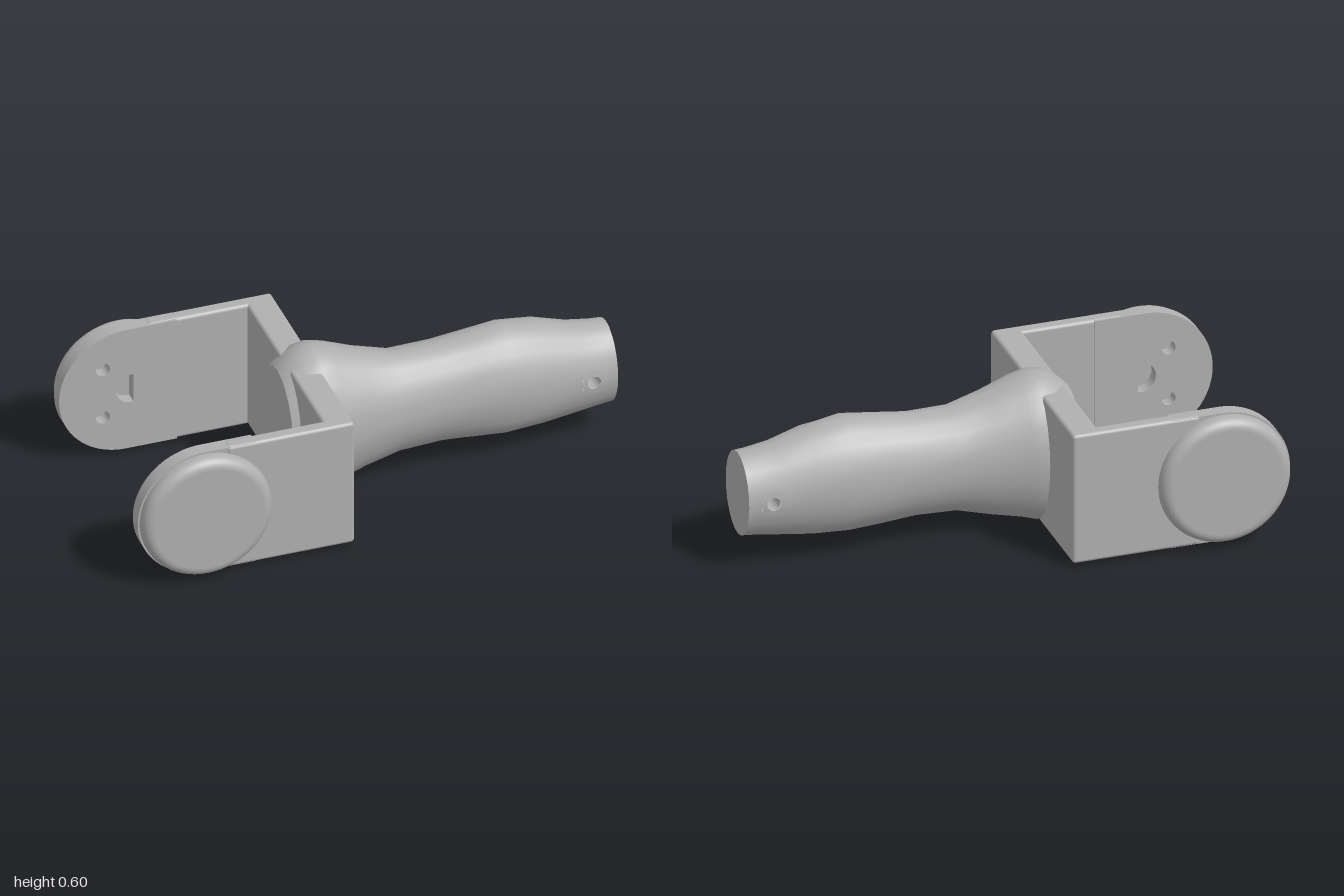
import * as THREE from 'three';
import { mergeVertices } from 'three/addons/utils/BufferGeometryUtils.js';
import { RoundedBoxGeometry } from 'three/addons/geometries/RoundedBoxGeometry.js';

const grey = new THREE.MeshStandardMaterial({ color: 0xb0b0b0, side: THREE.DoubleSide });
grey.name = 'grey';

const MID_Y = 0.286;   // height of the fork axis
const DISC_X = -0.738; // centre of the round arm ends

function add(parent, name, geometry, x = 0, y = 0, z = 0) {
  const mesh = new THREE.Mesh(geometry, grey);
  mesh.name = name;
  mesh.position.set(x, y, z);
  parent.add(mesh);
  return mesh;
}

// Grip sections: x, bottom, top, half width
const SECTIONS = [
  [-0.29, 0.06, 0.525, 0.18], [-0.25, 0.03, 0.565, 0.19], [-0.2, 0.006, 0.594, 0.205],
  [-0.15, 0.004, 0.602, 0.21], [-0.09, 0.02, 0.586, 0.2], [0.03, 0.055, 0.54, 0.175],
  [0.165, 0.09, 0.502, 0.155], [0.33, 0.096, 0.504, 0.15], [0.46, 0.085, 0.522, 0.158],
  [0.59, 0.075, 0.534, 0.165], [0.73, 0.085, 0.513, 0.157], [0.86, 0.104, 0.474, 0.142],
  [0.95, 0.117, 0.459, 0.135], [1, 0.122, 0.455, 0.132],
];
const SEGS = 24, STEP = Math.PI * 2 / SEGS;
const HOLE_X = 0.905, HOLE_R = 0.026, HOLE_ROW = 11;

function section(x) {
  let i = 0;
  while (i < SECTIONS.length - 2 && x > SECTIONS[i + 1][0]) i++;
  const a = SECTIONS[i], b = SECTIONS[i + 1], t = (x - a[0]) / (b[0] - a[0]);
  const [lo, hi, w] = [1, 2, 3].map((k) => a[k] + (b[k] - a[k]) * t);
  return { cy: (lo + hi) / 2, ry: (hi - lo) / 2, rz: w };
}

function gripPoint(x, a, scale = 1) {
  const s = section(x);
  return [x, s.cy + s.ry * scale * Math.sin(a), s.rz * scale * Math.cos(a)];
}

function gripGeometry() {
  const pos = [];
  const quad = (a, b, c, d) => pos.push(...a, ...b, ...c, ...a, ...c, ...d);
  // slight hand-worked unevenness
  let seed = 7;
  const rand = () => ((seed = (seed * 16807) % 2147483647) / 2147483647) - 0.5;
  const grid = SECTIONS.map(([x], i) => Array.from({ length: SEGS }, (_, j) =>
    gripPoint(x, j * STEP, i > 3 && i < HOLE_ROW ? 1 + rand() * 0.03 : 1)));
  for (let i = 0; i < grid.length - 1; i++) {
    for (let j = 0; j < SEGS; j++) {
      // leave room for the cross hole on both sides
      if (i === HOLE_ROW && [0, 11, 12, 23].includes(j)) continue;
      const k = (j + 1) % SEGS;
      quad(grid[i][j], grid[i + 1][j], grid[i + 1][k], grid[i][k]);
    }
  }
  // surface between the opening and the round hole
  const ry = section(HOLE_X).ry, n = 24;
  for (const side of [0, Math.PI]) {
    const ring = (k) => {
      const t = k / n * Math.PI * 2, c = Math.cos(t), s = Math.sin(t);
      const m = Math.max(Math.abs(c), Math.abs(s));
      return [
        gripPoint(HOLE_X + HOLE_R * c, side + Math.asin(HOLE_R * s / ry)),
        gripPoint(HOLE_X + 0.045 * c / m, side + STEP * s / m),
      ];
    };
    for (let k = 0; k < n; k++) {
      const [i0, o0] = ring(k), [i1, o1] = ring(k + 1);
      quad(i0, o0, o1, i1);
    }
  }
  const geo = new THREE.BufferGeometry();
  geo.setAttribute('position', new THREE.Float32BufferAttribute(pos, 3));
  const merged = mergeVertices(geo, 1e-5);
  merged.computeVertexNormals();
  return merged;
}

// Flat elliptical end of the grip, facing +x or -x
function endCap(x, dir) {
  const s = section(x);
  return new THREE.CircleGeometry(1, SEGS).scale(s.rz, s.ry, 1).rotateY(dir * Math.PI / 2);
}

// Round arm end with two screw holes and a D-shaped socket
function plateGeometry() {
  const r = 0.262, shape = new THREE.Shape();
  shape.moveTo(0.2, r);
  shape.lineTo(0, r);
  shape.absarc(0, 0, r, Math.PI / 2, Math.PI * 1.5, false);
  shape.lineTo(0.2, -r);
  for (const y of [-0.105, 0.105]) {
    const hole = new THREE.Path();
    hole.absarc(-0.09, y, 0.027, 0, Math.PI * 2, true);
    shape.holes.push(hole);
  }
  const socket = new THREE.Path();
  socket.moveTo(0.03, 0.06);
  socket.lineTo(0.03, -0.06);
  socket.absarc(0.02, 0, 0.06, -Math.PI / 2, Math.PI / 2, true);
  shape.holes.push(socket);
  return new THREE.ExtrudeGeometry(shape, { depth: 0.055, bevelEnabled: false, curveSegments: 32 });
}

// Disc cover with a rounded outer rim
function coverGeometry() {
  const pts = [new THREE.Vector2(0, 0), new THREE.Vector2(0.255, 0)];
  for (let i = 0; i <= 8; i++) {
    const a = i / 8 * Math.PI / 2;
    pts.push(new THREE.Vector2(0.215 + 0.04 * Math.cos(a), 0.022 + 0.04 * Math.sin(a)));
  }
  pts.push(new THREE.Vector2(0, 0.062));
  // doubled points keep the flat faces crisp
  pts.splice(1, 0, new THREE.Vector2(0.2549, 0));
  pts.splice(pts.length - 1, 0, new THREE.Vector2(0.2149, 0.062));
  return new THREE.LatheGeometry(pts, 64).rotateX(Math.PI / 2);
}

export function createModel() {
  const model = new THREE.Group();
  model.name = 'forkedHandle';

  // Grip with its cross hole
  const grip = new THREE.Group();
  grip.name = 'grip';
  model.add(grip);
  add(grip, 'gripBody', gripGeometry());
  add(grip, 'gripEnd', endCap(1, 1), 1, section(1).cy, 0);
  add(grip, 'gripRoot', endCap(-0.29, -1), -0.29, section(-0.29).cy, 0);
  add(grip, 'crossHole', new THREE.CylinderGeometry(HOLE_R, HOLE_R, 0.27, 24, 1, true)
    .rotateX(Math.PI / 2), HOLE_X, section(HOLE_X).cy, 0);

  // Fork bridge
  add(model, 'bridge', new RoundedBoxGeometry(0.11, 0.53, 0.93, 3, 0.014), -0.205, MID_Y, 0);

  // Two arms, the second turned over about the fork axis
  for (const side of ['front', 'back']) {
    const arm = new THREE.Group();
    arm.name = side + 'Arm';
    arm.position.y = MID_Y;
    if (side === 'back') arm.rotation.x = Math.PI;
    add(arm, side + 'ArmBar', new RoundedBoxGeometry(0.5, 0.53, 0.055, 3, 0.014), -0.4, 0, 0.4375);
    add(arm, side + 'Plate', plateGeometry(), DISC_X, 0, 0.406);
    add(arm, side + 'Cover', coverGeometry(), DISC_X, 0, 0.455);
    model.add(arm);
  }
  return model;
}
